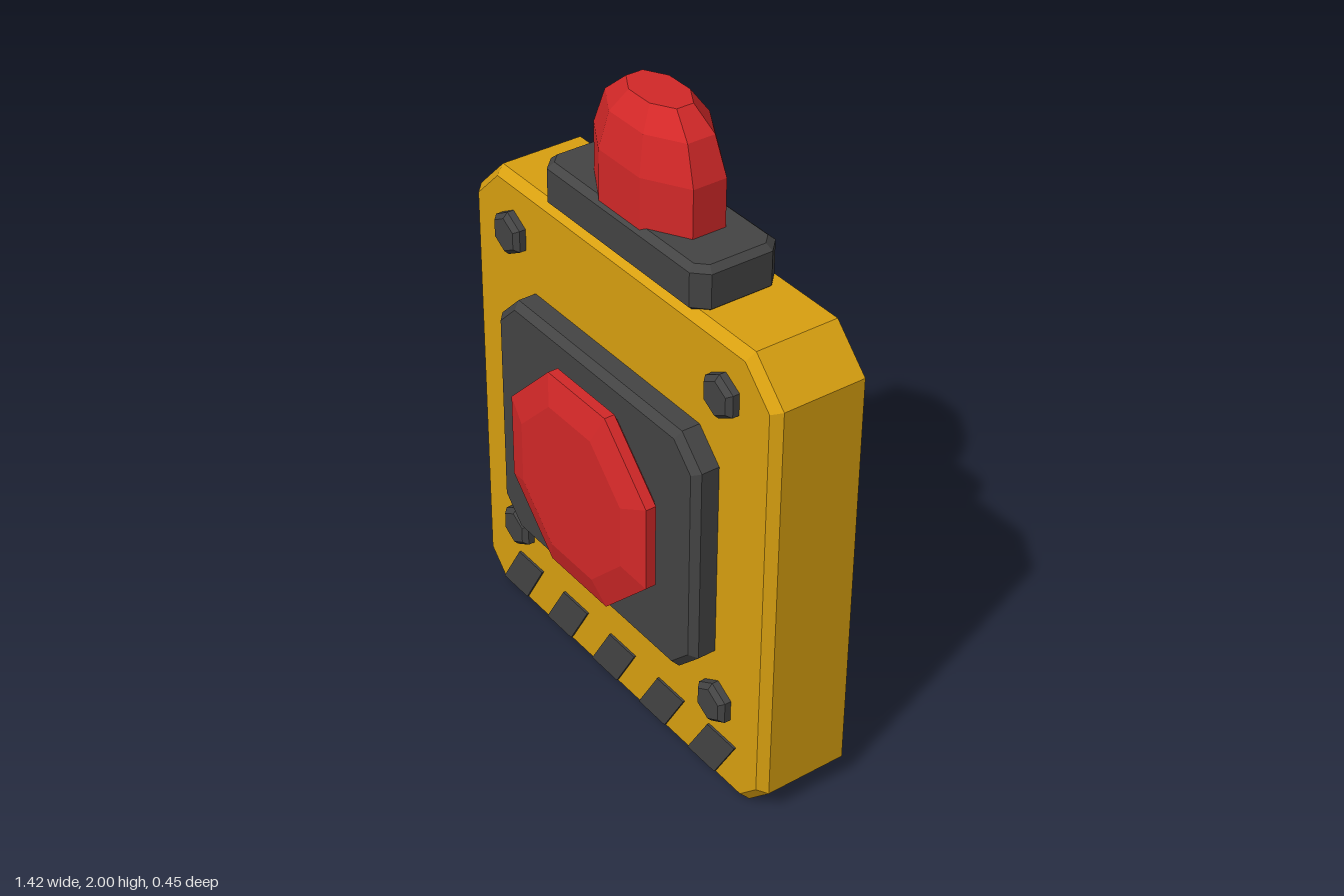
import * as THREE from 'three';

const flat = (name, color) => {
  const m = new THREE.MeshStandardMaterial({ color, flatShading: true });
  m.name = name;
  return m;
};

// Rectangle with cut corners, centred on (cx, cy), counter-clockwise, shrunk by inset
function cutRect(hw, hh, cx, cy, top, bottom, inset = 0) {
  const w = hw - inset, h = hh - inset;
  const t = top - inset * 0.586, b = bottom - inset * 0.586;
  return [
    [w - b, -h], [w, -h + b], [w, h - t], [w - t, h],
    [-w + t, h], [-w, h - t], [-w, -h + b], [-w + b, -h],
  ].map(([x, y]) => [x + cx, y + cy]);
}

// Regular octagon with flat sides, stretched to half sizes hw and hh
function octagon(hw, hh, cx, cy) {
  const k = Math.SQRT2 - 1;
  return [[k, -1], [1, -k], [1, k], [k, 1], [-k, 1], [-1, k], [-1, -k], [-k, -1]]
    .map(([x, y]) => [x * hw + cx, y * hh + cy]);
}

// Closed faceted solid through outlines stacked along z: [[outline, z], ...]
function loft(layers) {
  const pos = [], n = layers[0][0].length;
  const at = (l, i) => [...layers[l][0][i % n], layers[l][1]];
  for (let l = 0; l < layers.length - 1; l++) {
    for (let i = 0; i < n; i++) {
      const a = at(l, i), b = at(l, i + 1), c = at(l + 1, i + 1), d = at(l + 1, i);
      pos.push(...a, ...b, ...c, ...a, ...c, ...d);
    }
  }
  const last = layers.length - 1;
  for (let i = 1; i < n - 1; i++) {
    pos.push(...at(0, 0), ...at(0, i + 1), ...at(0, i));
    pos.push(...at(last, 0), ...at(last, i), ...at(last, i + 1));
  }
  const g = new THREE.BufferGeometry();
  g.setAttribute('position', new THREE.Float32BufferAttribute(pos, 3));
  g.computeVertexNormals();
  return g;
}

export function createModel() {
  const yellow = flat('yellow paint', 0xd9a010);
  const dark = flat('dark grey', 0x444444);
  const red = flat('signal red', 0xd32828);
  const model = new THREE.Group();
  model.name = 'alarmBox';
  const add = (name, geometry, material) => {
    const mesh = new THREE.Mesh(geometry, material);
    mesh.name = name;
    model.add(mesh);
    return mesh;
  };

  // Housing, bevelled on the front only
  const body = (inset) => cutRect(0.712, 0.77, 0, 0.77, 0.122, 0.087, inset);
  add('housing', loft([[body(0), -0.225], [body(0), 0.043], [body(0.026), 0.07]]), yellow);

  // Panel behind the button
  const panel = (inset) => cutRect(0.484, 0.412, -0.002, 0.797, 0.09, 0.09, inset);
  add('buttonPanel', loft([[panel(0), 0.065], [panel(0), 0.128], [panel(0.022), 0.149]]), dark);

  // Push button
  const button = (r) => octagon(r, r, 0, 0.8);
  add('pushButton', loft([
    [button(0.295), 0.148], [button(0.333), 0.17], [button(0.333), 0.203], [button(0.245), 0.228],
  ]), red);

  // Corner bolts
  for (const x of [-0.5, 0.5]) {
    for (const y of [0.306, 1.368]) {
      const shank = new THREE.CylinderGeometry(0.07, 0.07, 0.025, 6).rotateX(Math.PI / 2);
      add('boltBase', shank, dark).position.set(x, y, 0.0785);
      const cap = new THREE.CylinderGeometry(0.054, 0.07, 0.015, 6).rotateX(Math.PI / 2);
      add('boltHead', cap, dark).position.set(x, y, 0.0985);
    }
  }

  // Slanted warning stripes
  for (let i = 0; i < 5; i++) {
    const x = -0.61 + i * 0.245;
    const outline = [[x, 0.03], [x + 0.13, 0.03], [x + 0.22, 0.186], [x + 0.092, 0.186]];
    add('warningStripe', loft([[outline, 0.069], [outline, 0.077]]), dark);
  }

  // Beacon mount and dome, stacked upwards
  const mount = (inset) => cutRect(0.372, 0.142, 0, 0.077, 0.042, 0.042, inset);
  add('beaconMount', loft([
    [mount(0.018), 1.528], [mount(0), 1.545], [mount(0), 1.652], [mount(0.02), 1.67],
  ]).rotateX(-Math.PI / 2), dark);
  const dome = (s) => octagon(0.227 * s, 0.132 * s, 0, 0.077);
  add('beaconDome', loft([
    [dome(1), 1.66], [dome(1), 1.82], [dome(0.82), 1.935], [dome(0.5), 2],
  ]).rotateX(-Math.PI / 2), red);

  return model;
}
